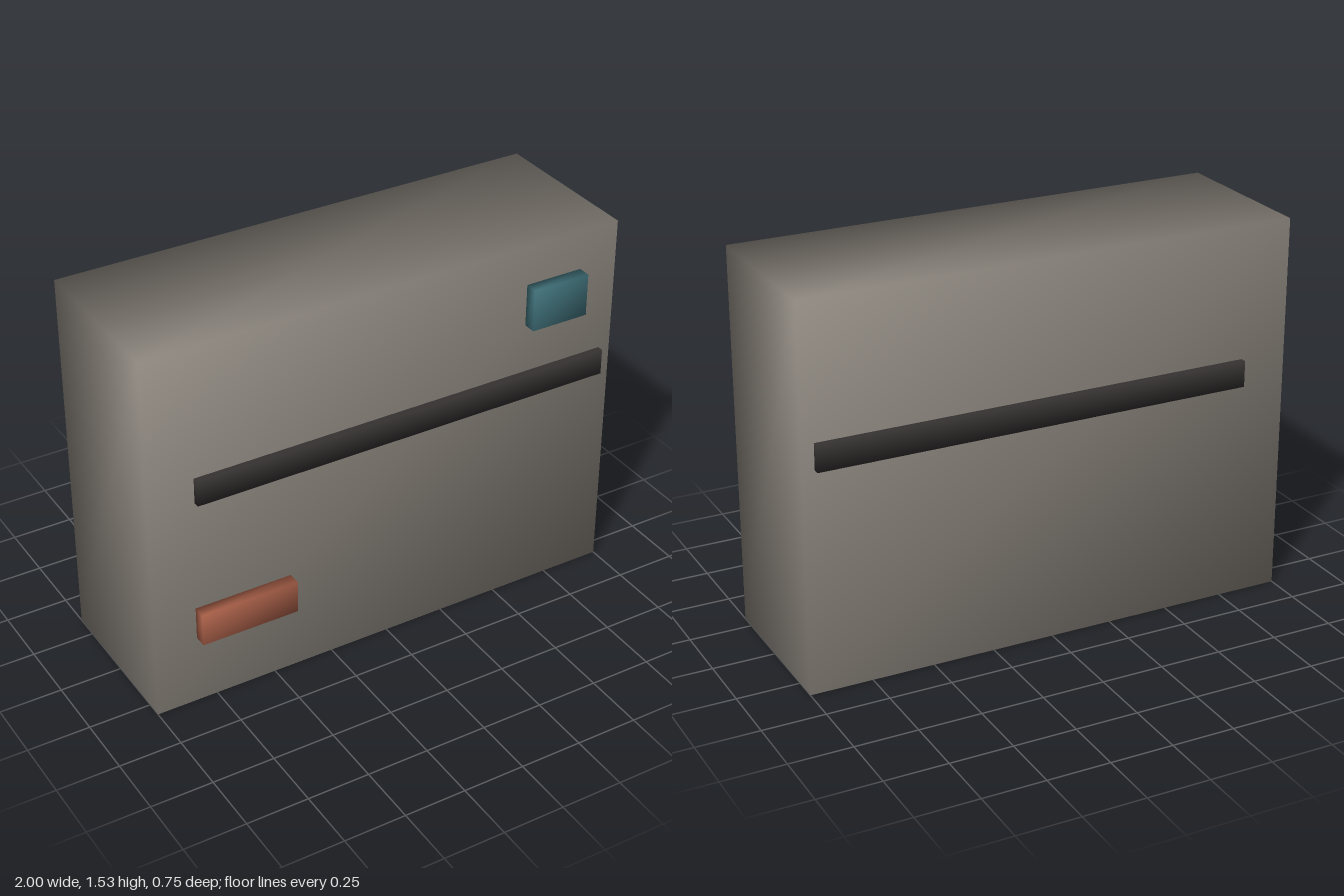
import * as THREE from 'three';
import { mergeVertices } from 'three/addons/utils/BufferGeometryUtils.js';

// Box given by its extents, with normals shared across its corners for soft shading
function softBox(name, color, [x0, x1], [y0, y1], [z0, z1]) {
  let geometry = new THREE.BoxGeometry(x1 - x0, y1 - y0, z1 - z0);
  geometry.deleteAttribute('normal');
  geometry.deleteAttribute('uv');
  geometry = mergeVertices(geometry);
  geometry.computeVertexNormals();
  const mesh = new THREE.Mesh(geometry, new THREE.MeshStandardMaterial({ color }));
  mesh.position.set((x0 + x1) / 2, (y0 + y1) / 2, (z0 + z1) / 2);
  mesh.name = name;
  return mesh;
}

export function createModel() {
  const model = new THREE.Group();
  model.name = 'panelBlock';
  model.add(
    // Main block
    softBox('body', 0x8a847c, [-1, 1], [0, 1.53], [-0.35, 0.315]),
    // Dark bar running through the block, showing on front and back
    softBox('crossBar', 0x353131, [-0.81, 0.95], [0.89, 0.995], [-0.375, 0.34]),
    // Small plates standing just off the front face
    softBox('upperPlate', 0x3f6f78, [0.59, 0.83], [1.205, 1.377], [0.325, 0.377]),
    softBox('lowerPlate', 0xa85f48, [-0.83, -0.43], [0.3, 0.435], [0.325, 0.377]),
  );
  return model;
}
